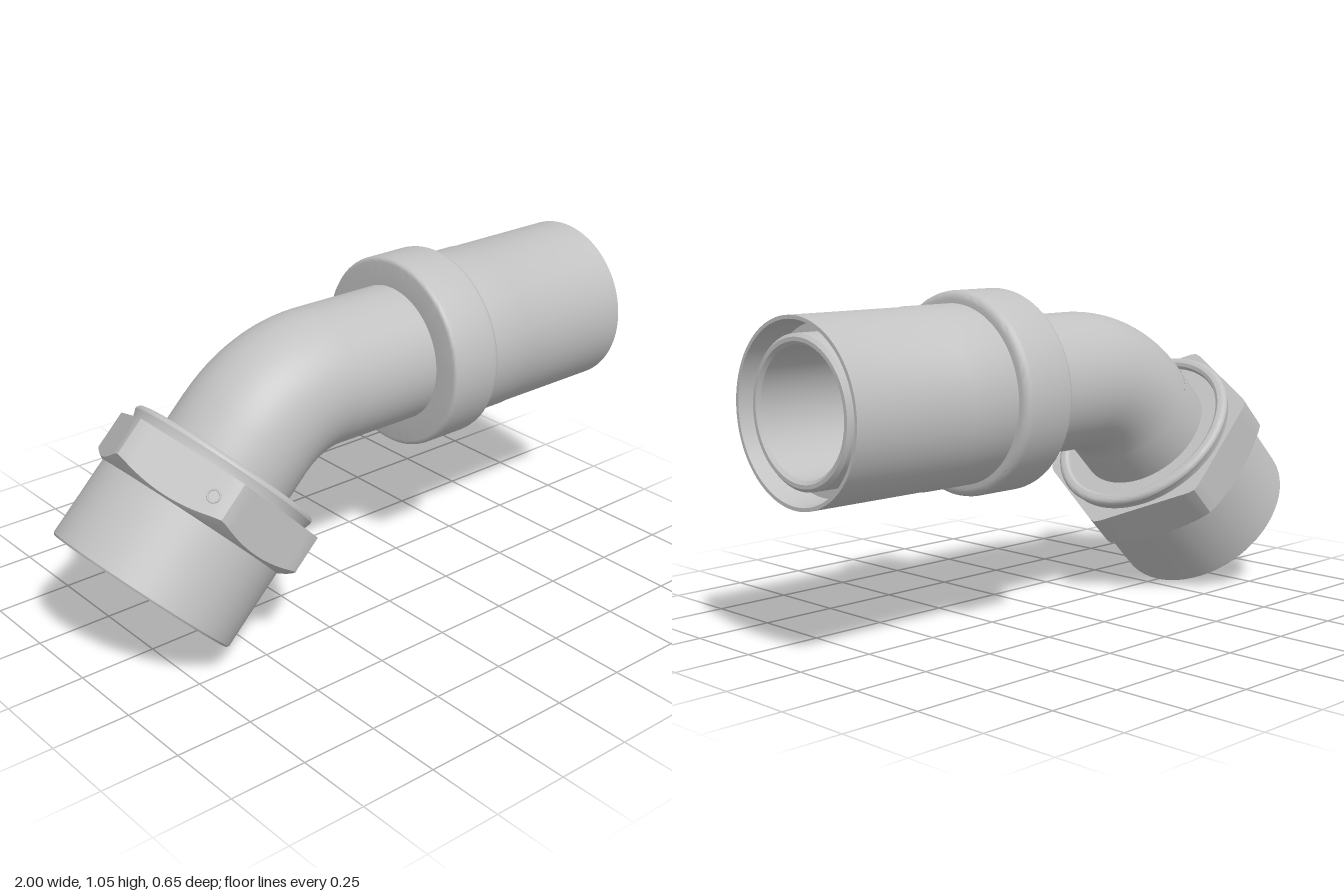
import * as THREE from 'three';
import { toCreasedNormals } from 'three/addons/utils/BufferGeometryUtils.js';

const SEG = 96;
const AXIS_Y = 0.74;          // height of the straight pipe
const PIPE = 0.222, BORE = 0.19;
const BEND = 0.39, BEND_X = -0.1;

const steel = new THREE.MeshStandardMaterial({ color: 0xc2c2c2, side: THREE.DoubleSide });
steel.name = 'brushed steel';

function part(name, geometry, parent) {
  const mesh = new THREE.Mesh(geometry, steel);
  mesh.name = name;
  parent.add(mesh);
  return mesh;
}

// turned part; profile is [radius, position along axis]
function turned(name, profile, parent) {
  const points = profile.map(([r, s]) => new THREE.Vector2(r, s));
  return part(name, toCreasedNormals(new THREE.LatheGeometry(points, SEG), 0.5), parent);
}

// quarter-round corner points for a profile
function round(r, s, radius, from) {
  return [0, 1, 2, 3, 4].map((i) => {
    const a = from + (i / 4) * Math.PI / 2;
    return [r + radius * Math.cos(a), s + radius * Math.sin(a)];
  });
}

// hexagon whose lower edge is cut by a cone
function hexGeometry() {
  const profile = [[0.3, 0.262], [0.3125, 0.265], [0.36, 0.3], [0.36, 0.42], [0.28, 0.42]];
  const geometry = new THREE.LatheGeometry(profile.map(([r, s]) => new THREE.Vector2(r, s)), SEG);
  const pos = geometry.attributes.position;
  for (let i = 0; i < pos.count; i++) {
    const x = pos.getX(i), z = pos.getZ(i), y = pos.getY(i);
    if (Math.hypot(x, z) < 0.32) continue;
    const a = Math.atan2(x, z), step = Math.PI / 3;
    const off = a - Math.round(a / step) * step;
    const r = Math.min(0.325 / Math.cos(off), 0.37);
    const s = y < 0.35 ? 0.265 + (r - 0.3125) * 0.58 : y;
    pos.setXYZ(i, r * Math.sin(a), s, r * Math.cos(a));
  }
  return toCreasedNormals(geometry, 0.4);
}

export function createModel() {
  const model = new THREE.Group();
  model.name = 'pipeElbow';

  // straight run, axis along +x
  const run = new THREE.Group();
  run.name = 'straightRun';
  run.rotation.z = -Math.PI / 2;
  run.position.y = AXIS_Y;
  model.add(run);

  turned('straightPipe', [[PIPE, BEND_X], [PIPE, 0.25]], run);
  turned('collar', [
    [PIPE, 0.208], ...round(0.298, 0.223, 0.015, -Math.PI / 2),
    ...round(0.288, 0.375, 0.025, 0), [0.27, 0.4],
  ], run);
  turned('sleeve', [
    [0.275, 0.39], [0.275, 0.57], [0.273, 0.575], [0.273, 1],
    [0.262, 1], [0.25, 0.9], [PIPE, 0.9],
  ], run);
  turned('innerTube', [
    [PIPE, 0.88], [PIPE, 0.975], [0.212, 0.985], [0.2, 0.985], [BORE, 0.975], [BORE, BEND_X],
  ], run);

  // 45 degree bend, outer wall and bore
  for (const [name, radius] of [['bend', PIPE], ['bendBore', BORE]]) {
    const bend = part(name, new THREE.TorusGeometry(BEND, radius, SEG, 32, Math.PI / 4), model);
    bend.rotation.z = Math.PI / 2;
    bend.position.set(BEND_X, AXIS_Y - BEND, 0);
  }

  // angled end, axis pointing up toward the bend
  const end = new THREE.Group();
  end.name = 'unionNut';
  end.rotation.z = -Math.PI / 4;
  end.position.set(-0.78, 0.2225, 0);
  model.add(end);

  turned('anglePipe', [
    [BORE, 0.571], [BORE, 0.16], [0.205, 0.16], [PIPE, 0.2], [PIPE, 0.571],
  ], end);
  turned('nutSkirt', [
    [0.24, 0.27], [0.285, 0.24], [0.285, 0.03], [0.3, 0],
    [0.309, 0], [0.314, 0.006], [0.314, 0.275],
  ], end);
  part('nutHex', hexGeometry(), end);
  turned('nutLip', [
    [0.31, 0.415], [0.31, 0.425], ...round(0.302, 0.449, 0.016, 0),
    [0.29, 0.465], [0.28, 0.458], [0.278, 0.445], [PIPE, 0.445],
  ], end);

  // small round mark on one hexagon flat
  const normal = new THREE.Vector3(-Math.sqrt(3) / 2, 0, 0.5);
  const mark = part('nutMark', new THREE.TorusGeometry(0.019, 0.003, 8, 24), end);
  mark.position.set(-0.218, 0.345, 0.273);
  mark.quaternion.setFromUnitVectors(new THREE.Vector3(0, 0, 1), normal);

  return model;
}
